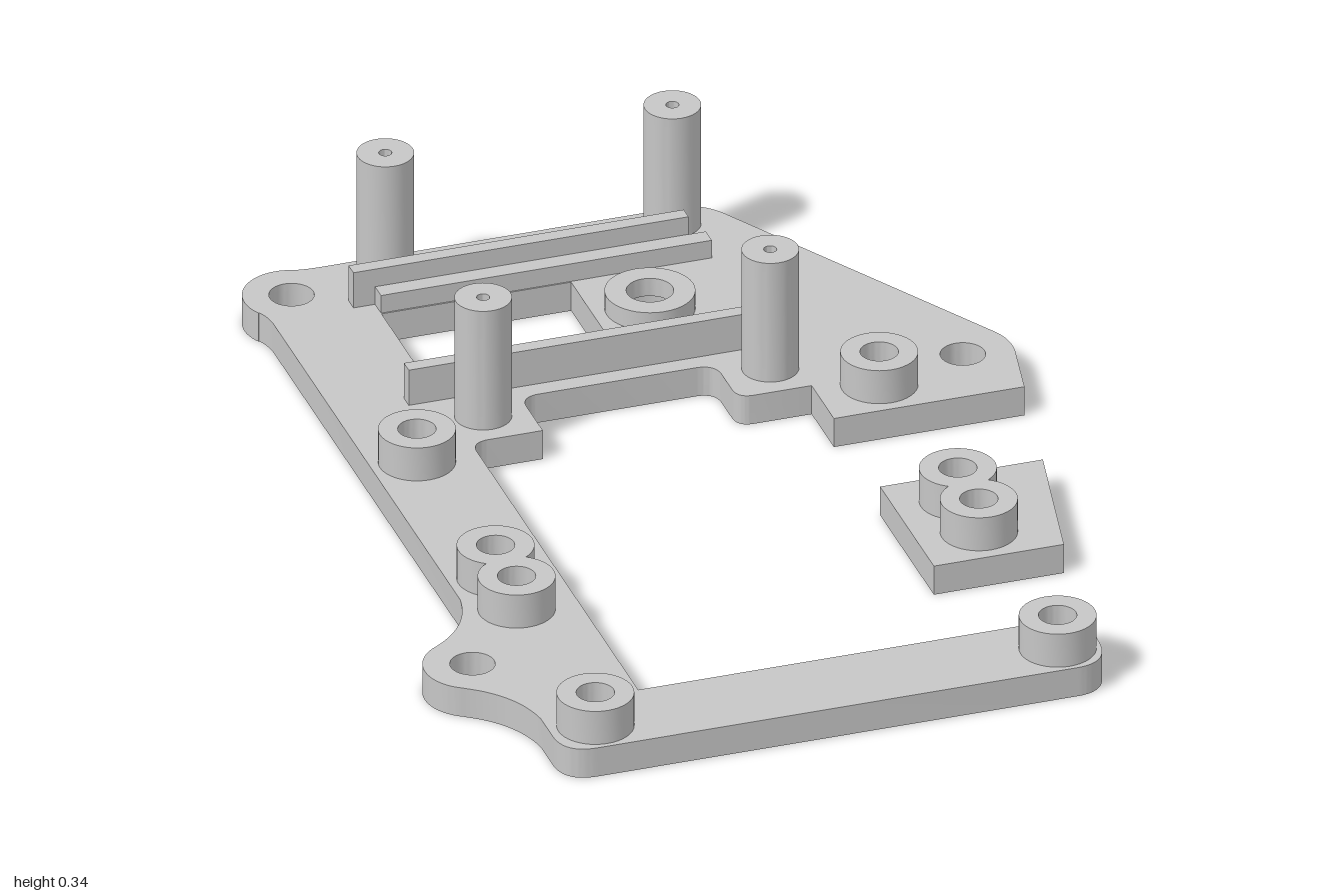
import * as THREE from 'three';
import { toCreasedNormals } from 'three/addons/utils/BufferGeometryUtils.js';

const PLATE = 0.065, BOSS = 0.14, RING = 0.105, POST = 0.335;
const BOSS_R = 0.077, BOSS_HOLE = 0.038;

export function createModel() {
  const model = new THREE.Group();
  model.name = 'mountingFrame';
  const grey = new THREE.MeshStandardMaterial({ color: 0xc6c6c6 });
  grey.name = 'light grey plastic';

  const add = (name, geometry) => {
    const mesh = new THREE.Mesh(geometry, grey);
    mesh.name = name;
    model.add(mesh);
  };
  // Plan shapes use (x, -z) and are raised from y0 to y1
  const raise = (name, shape, y0, y1) => {
    const g = new THREE.ExtrudeGeometry(shape, { depth: y1 - y0, bevelEnabled: false, curveSegments: 20 });
    g.rotateX(-Math.PI / 2);
    g.translate(0, y0, 0);
    add(name, toCreasedNormals(g, 0.6));
  };
  // Holes run counterclockwise so that their walls face inwards
  const hole = (shape, x, z, r) => {
    shape.holes.push(new THREE.Path().absarc(x, -z, r, 0, Math.PI * 2, false));
  };
  const ring = (name, x, z, r, inner, top) => {
    const s = new THREE.Shape().absarc(x, -z, r, 0, Math.PI * 2, false);
    hole(s, x, z, inner);
    raise(name, s, PLATE, top);
  };
  const box = (name, x0, x1, z0, z1, top) => {
    const g = new THREE.BoxGeometry(x1 - x0, top - PLATE, z1 - z0);
    g.translate((x0 + x1) / 2, (top + PLATE) / 2, (z0 + z1) / 2);
    add(name, g);
  };
  const deg = THREE.MathUtils.degToRad;

  // Base plate outline, with an ear at the back corner and one on the side
  const p = new THREE.Shape();
  p.moveTo(-0.6, 0.8);
  p.quadraticCurveTo(-0.6, 0.83, -0.613, 0.855);
  p.absarc(-0.529, 0.902, 0.098, deg(210), deg(68), true);
  p.quadraticCurveTo(-0.47, 0.988, -0.44, 0.988);
  p.lineTo(0.31, 0.988);
  p.quadraticCurveTo(0.36, 0.983, 0.389, 0.927);
  p.lineTo(0.739, 0.322);
  p.quadraticCurveTo(0.761, 0.285, 0.754, 0.235);
  p.lineTo(0.726, 0.094);
  p.lineTo(0.329, 0.094);
  p.lineTo(0.329, 0.232);
  p.lineTo(0.21, 0.232);
  p.quadraticCurveTo(0.175, 0.232, 0.175, 0.267);
  p.lineTo(0.175, 0.33);
  p.quadraticCurveTo(0.175, 0.372, 0.133, 0.372);
  p.lineTo(-0.191, 0.372);
  p.quadraticCurveTo(-0.231, 0.372, -0.231, 0.332);
  p.lineTo(-0.231, 0.232);
  p.lineTo(-0.343, 0.232);
  p.quadraticCurveTo(-0.381, 0.232, -0.381, 0.194);
  p.lineTo(-0.381, -0.805);
  p.lineTo(0.55, -0.805);
  p.lineTo(0.541, -0.93);
  p.quadraticCurveTo(0.531, -0.998, 0.469, -0.998);
  p.lineTo(-0.53, -0.998);
  p.quadraticCurveTo(-0.6, -0.998, -0.6, -0.926);
  p.lineTo(-0.6, -0.853);
  p.quadraticCurveTo(-0.615, -0.748, -0.705, -0.69);
  p.absarc(-0.658, -0.602, 0.099, deg(242), deg(118), true);
  p.quadraticCurveTo(-0.615, -0.457, -0.6, -0.352);
  p.closePath();

  // Rectangular window
  p.holes.push(new THREE.Path([[-0.385, 0.487], [0.01, 0.487], [0.01, 0.773], [-0.385, 0.773]]
    .map(([x, y]) => new THREE.Vector2(x, y))));

  // Screw holes in the ears and the wide recess under the raised ring
  for (const [x, z] of [[-0.529, -0.902], [0.652, -0.256], [-0.658, 0.602]]) hole(p, x, z, 0.045);
  hole(p, 0.125, -0.627, 0.088);
  ring('raisedRing', 0.125, -0.627, 0.09, 0.047, RING);

  // Tall posts with pilot holes
  for (const x of [-0.324, 0.274]) for (const z of [-0.931, -0.325]) {
    hole(p, x, z, 0.013);
    ring('post', x, z, 0.057, 0.013, POST);
  }

  // Loose pad
  const pad = new THREE.Shape([[0.329, -0.192], [0.668, -0.192], [0.6, -0.525], [0.329, -0.525]]
    .map(([x, y]) => new THREE.Vector2(x, y)));

  // Short bosses in two columns, with a joined pair in the middle of each
  const zA = 0.293, zB = 0.423;
  const a = Math.acos((zB - zA) / 2 / BOSS_R);
  for (const x of [-0.506, 0.457]) {
    for (const z of [-0.194, 0.911]) {
      hole(p, x, z, BOSS_HOLE);
      ring('boss', x, z, BOSS_R, BOSS_HOLE, BOSS);
    }
    const pair = new THREE.Shape();
    pair.absarc(x, -zA, BOSS_R, -Math.PI / 2 + a, Math.PI * 1.5 - a, false);
    pair.absarc(x, -zB, BOSS_R, Math.PI / 2 + a, Math.PI * 2.5 - a, false);
    for (const z of [zA, zB]) {
      hole(pair, x, z, BOSS_HOLE);
      hole(x < 0 ? p : pad, x, z, BOSS_HOLE);
    }
    raise('bossPair', pair, PLATE, BOSS);
  }
  raise('basePlate', p, 0, PLATE);
  raise('pad', pad, 0, PLATE);

  // Stepped rails on both sides of the window
  box('backRailWall', -0.43, 0.268, -0.843, -0.813, 0.145);
  box('backRailStep', -0.385, 0.304, -0.813, -0.776, RING);
  box('frontRailStep', -0.385, 0.304, -0.48, -0.441, RING);
  box('frontRailWall', -0.45, 0.268, -0.441, -0.411, 0.145);

  return model;
}
